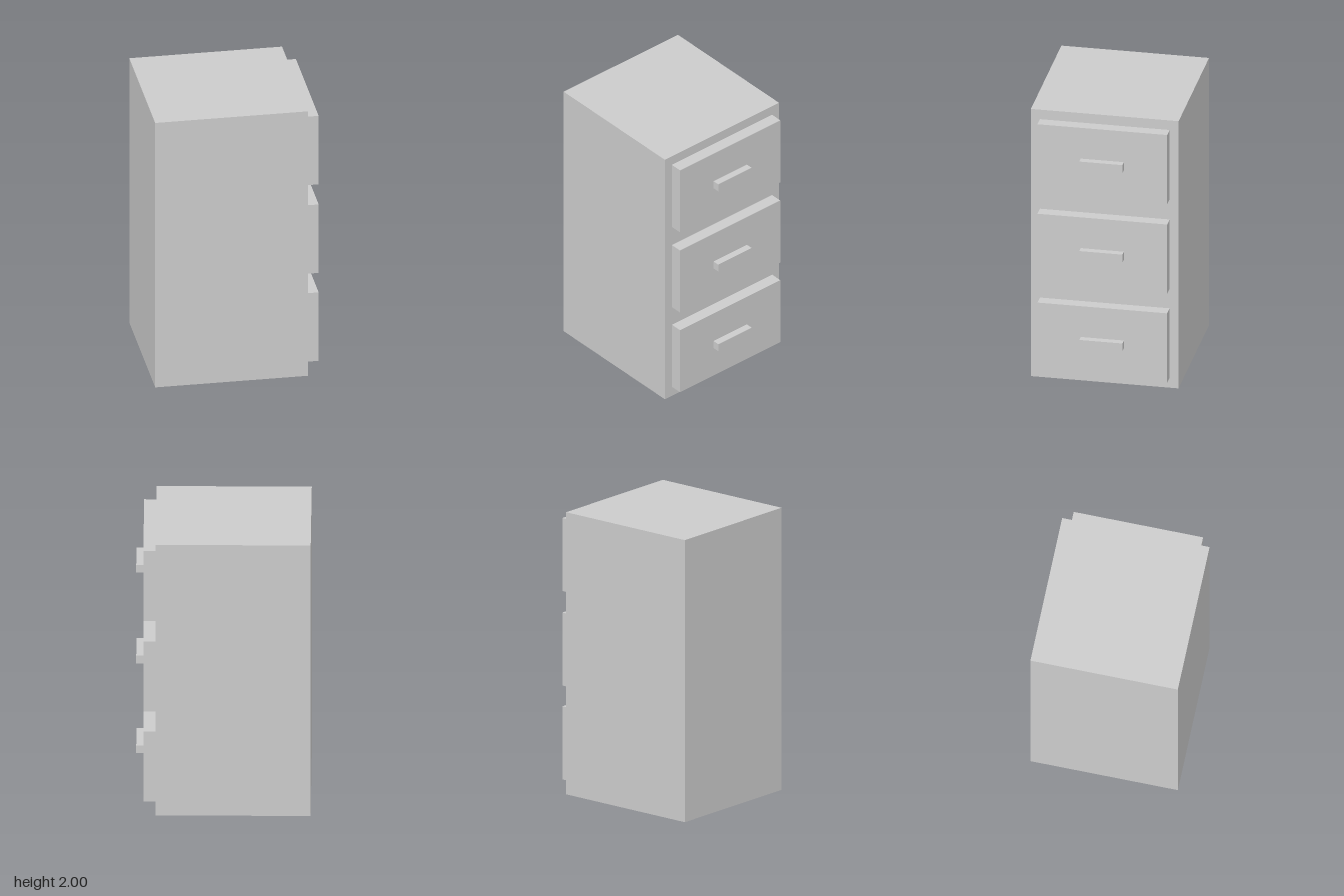
import * as THREE from 'three';

const material = new THREE.MeshStandardMaterial({ color: 0xcccccc, flatShading: true });

// Box spanning x0..x1, centred on z = 0
function box(name, x0, x1, y, height, depth) {
  const mesh = new THREE.Mesh(new THREE.BoxGeometry(x1 - x0, height, depth), material);
  mesh.name = name;
  mesh.position.set((x0 + x1) / 2, y, 0);
  return mesh;
}

export function createModel() {
  const model = new THREE.Group();
  model.name = 'drawerCabinet';

  // Cabinet body
  const faceX = 0.46;
  model.add(box('cabinetBody', -0.595, faceX, 1, 2, 1.025));

  // Three drawers on the +x side, each with a bar handle
  for (const [i, y] of [0.335, 1, 1.67].entries()) {
    const drawer = new THREE.Group();
    drawer.name = `drawer${i + 1}`;
    drawer.position.y = y;
    drawer.add(
      box('drawerFront', faceX, 0.545, 0, 0.518, 0.9),
      box('drawerHandle', 0.545, 0.595, 0, 0.058, 0.3)
    );
    model.add(drawer);
  }
  return model;
}
